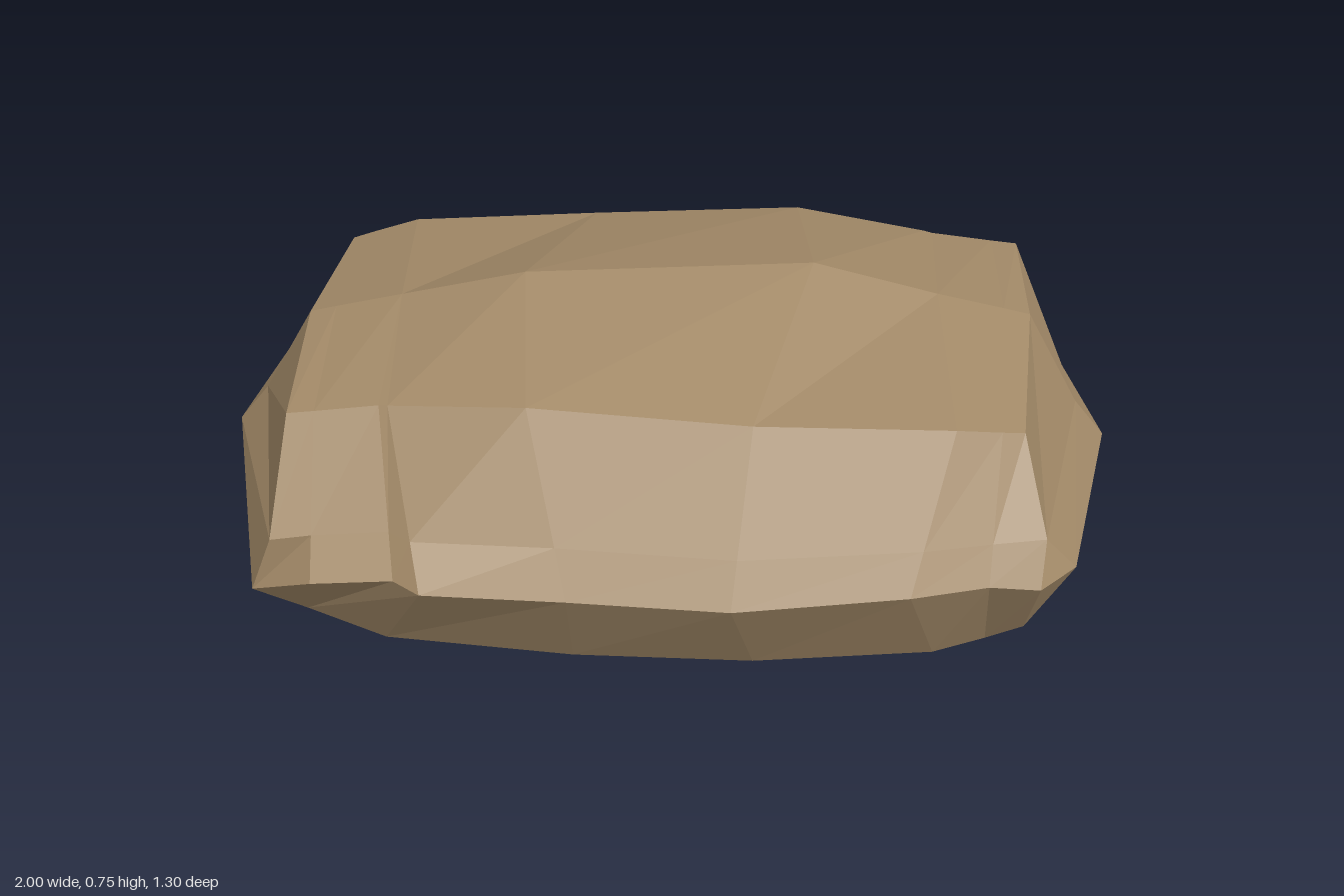
import * as THREE from 'three';

// Half of the rock outline, going along the front and round the left end.
// Each column: [waist, shoulder, bottom edge, ridge x/y/z, keel x/y/z, optional bevel point]
const tipLeft = [0.81, 0.63, -0.02], tipRight = [-0.81, 0.63, 0.02];
const keelLeft = [0.81, 0.04, 0], keelRight = [-0.81, 0.04, 0];
const rightFoot = [-0.81, 0.055, 0.37], leftFoot = [0.81, 0.045, 0.37];
const leftShoulder = [0.77, 0.585, 0.38], leftBevel = [0.82, 0.4, 0.51];
const columns = [
  [[-0.89, 0.245, 0.54], [-0.81, 0.6, 0.38], rightFoot, tipRight, keelRight, [-0.84, 0.38, 0.54]],
  [[-0.75, 0.31, 0.6], [-0.75, 0.607, 0.38], rightFoot, [-0.75, 0.645, 0.02], keelRight],
  [[-0.57, 0.33, 0.61], [-0.61, 0.625, 0.38], rightFoot, [-0.6, 0.68, 0.02], keelRight],
  [[-0.51, 0.325, 0.65], [-0.59, 0.628, 0.385], [-0.62, 0.05, 0.46], [-0.6, 0.68, 0.02], [-0.6, 0, 0]],
  [[-0.2, 0.31, 0.645], [-0.29, 0.66, 0.43], [-0.2, 0.035, 0.49], [-0.32, 0.75, 0.03], [-0.2, 0, 0]],
  [[0.15, 0.295, 0.65], [0.19, 0.63, 0.44], [0.2, 0.028, 0.49], [0.32, 0.75, -0.03], [0.2, 0, 0]],
  [[0.53, 0.315, 0.615], [0.62, 0.615, 0.42], [0.6, 0.04, 0.46], [0.6, 0.68, -0.02], [0.6, 0, 0]],
  [[0.7, 0.31, 0.565], [0.72, 0.595, 0.395], [0.72, 0.042, 0.41], [0.75, 0.645, -0.02], [0.72, 0.023, 0]],
  [[0.81, 0.305, 0.565], leftShoulder, leftFoot, tipLeft, keelLeft, leftBevel],
  [[0.89, 0.32, 0.5], leftShoulder, leftFoot, tipLeft, keelLeft, leftBevel],
  [[1, 0.32, 0], tipLeft, keelLeft, tipLeft, keelLeft, [0.93, 0.41, 0]],
];

// Turns a column into a section from keel to ridge
function section([waist, shoulder, foot, ridge, keel, bevel]) {
  const w = new THREE.Vector3(...waist), s = new THREE.Vector3(...shoulder);
  const b = bevel ? new THREE.Vector3(...bevel) : w.clone().lerp(s, 0.28);
  return [new THREE.Vector3(...keel), new THREE.Vector3(...foot), w, b, s, new THREE.Vector3(...ridge)];
}

function rockGeometry() {
  const half = columns.map(section);
  // The other half is the same shape turned half way round
  const turned = half.map(col => col.map(p => new THREE.Vector3(-p.x, p.y, -p.z)));
  const ring = [...half, ...turned];
  const positions = [];
  const triangle = (a, b, c) => {
    if (new THREE.Triangle(a, b, c).getArea() < 1e-6) return;
    for (const p of [a, b, c]) positions.push(p.x, p.y, p.z);
  };
  ring.forEach((col, i) => {
    const next = ring[(i + 1) % ring.length];
    for (let r = 0; r < col.length - 1; r++) {
      triangle(col[r], next[r], next[r + 1]);
      triangle(col[r], next[r + 1], col[r + 1]);
    }
  });
  const geometry = new THREE.BufferGeometry();
  geometry.setAttribute('position', new THREE.Float32BufferAttribute(positions, 3));
  geometry.computeVertexNormals();
  return geometry;
}

export function createModel() {
  const group = new THREE.Group();
  group.name = 'rock';
  const stone = new THREE.MeshStandardMaterial({ color: 0xa38a68, flatShading: true });
  stone.name = 'brown stone';
  const boulder = new THREE.Mesh(rockGeometry(), stone);
  boulder.name = 'boulder';
  group.add(boulder);
  return group;
}
